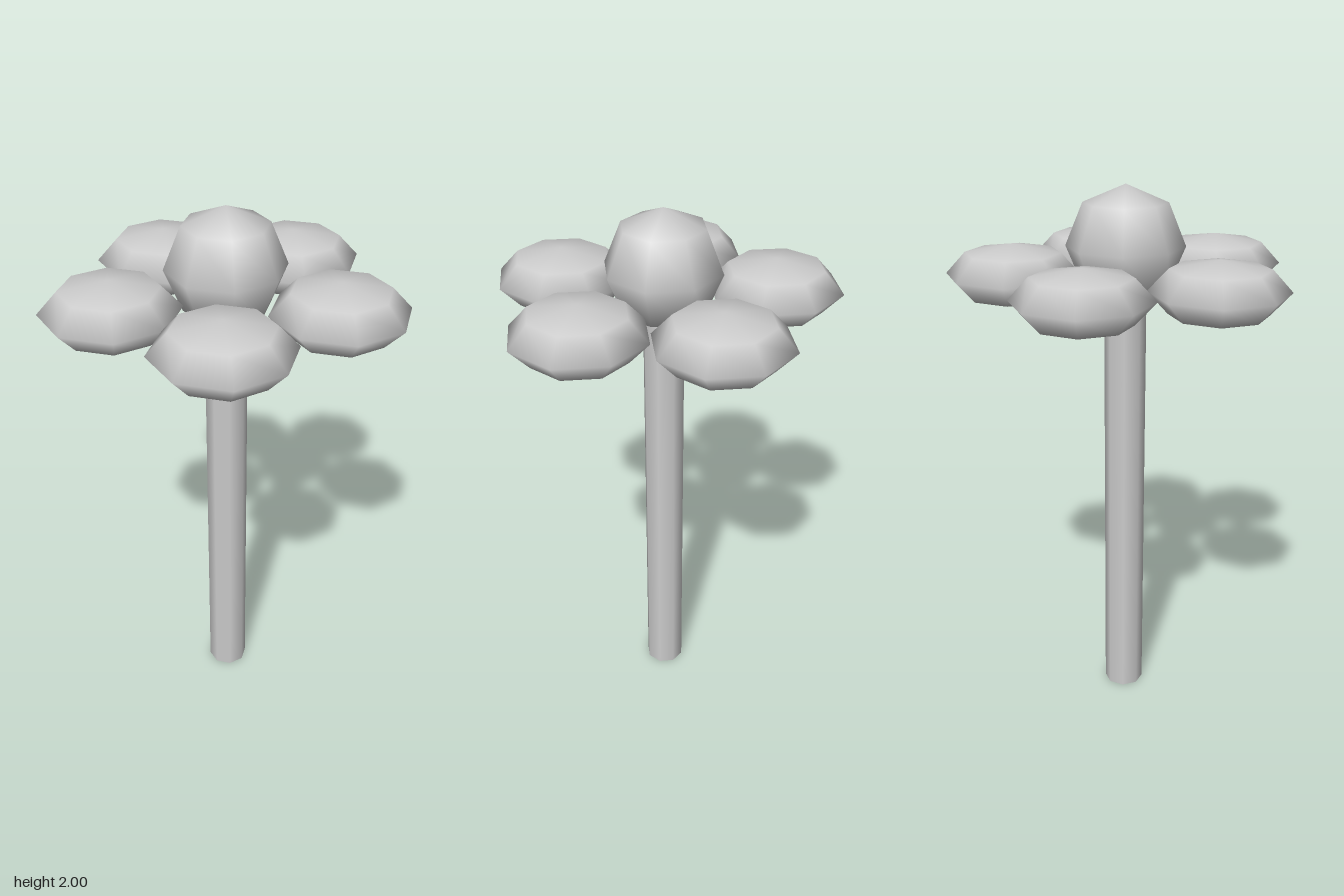
import * as THREE from 'three';

export function createModel() {
  const group = new THREE.Group();
  group.name = 'flower';
  const grey = new THREE.MeshStandardMaterial({ color: 0xcccccc });
  grey.name = 'light grey';

  const add = (name, geometry, x, y, z) => {
    const mesh = new THREE.Mesh(geometry, grey);
    mesh.name = name;
    mesh.position.set(x, y, z);
    group.add(mesh);
    return mesh;
  };

  const axisX = -0.038; // the five-petal ring is off centre, so the stem is too

  // Stem, ending just inside the flower centre
  const stemHeight = 1.64;
  add('stem', new THREE.CylinderGeometry(0.075, 0.075, stemHeight, 8), axisX, stemHeight / 2, 0);

  // Round flower centre
  add('flowerCentre', new THREE.SphereGeometry(0.21, 8, 4), axisX, 1.79, 0);

  // Flattened petals around the centre, all facing the same way
  const petalGeometry = new THREE.SphereGeometry(0.24, 8, 4).scale(1, 0.445, 1);
  for (let i = 0; i < 5; i++) {
    const a = (i / 5) * Math.PI * 2;
    add(`petal${i + 1}`, petalGeometry, axisX + 0.395 * Math.cos(a), 1.688, 0.395 * Math.sin(a));
  }

  return group;
}
